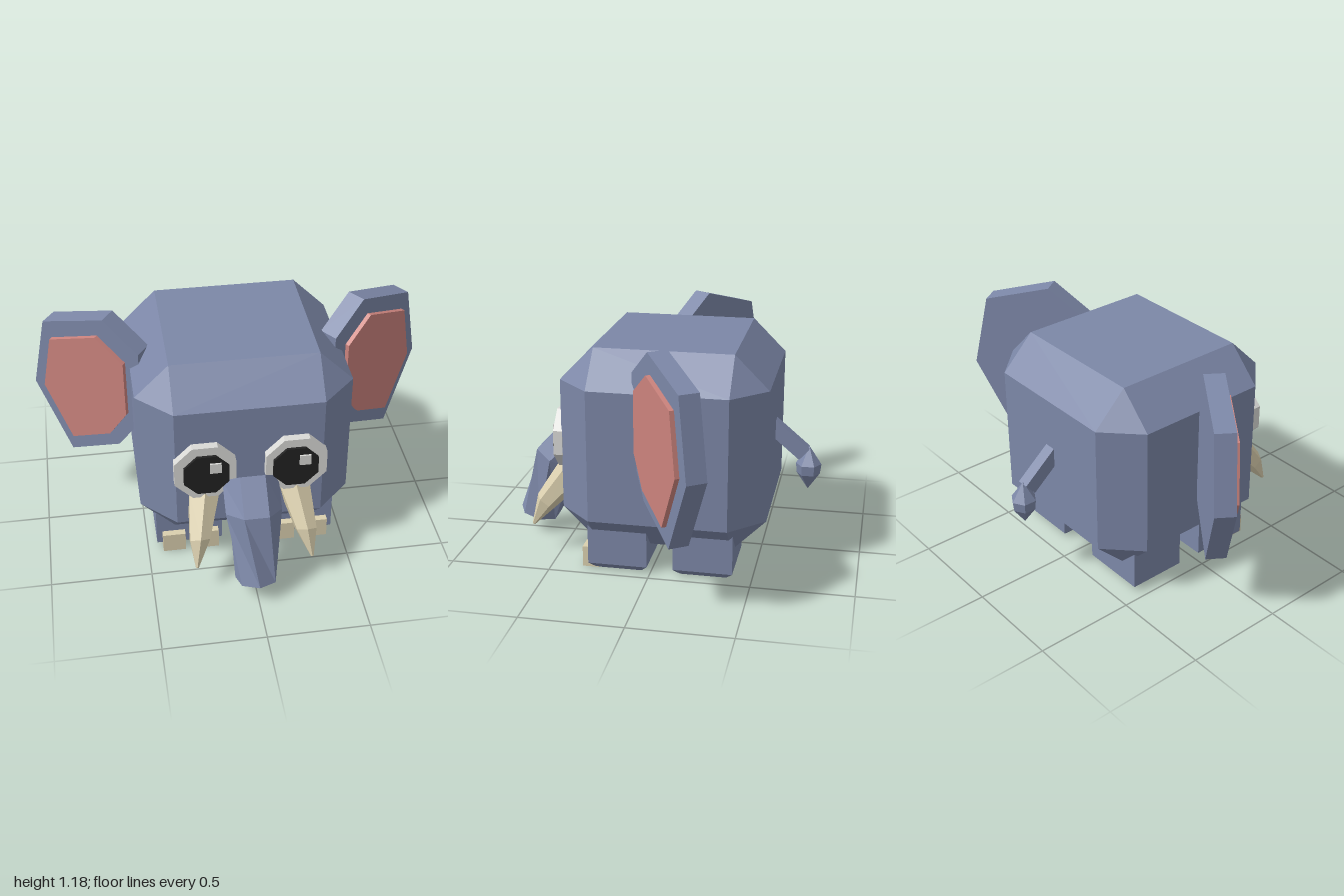
import * as THREE from 'three';
import { ConvexGeometry } from 'three/addons/geometries/ConvexGeometry.js';

const material = (name, color) => {
  const m = new THREE.MeshStandardMaterial({ color, flatShading: true });
  m.name = name;
  return m;
};

// Box with all edges cut off, given half sizes and cut
function cutBox(hx, hy, hz, c) {
  const pts = [];
  for (const x of [-1, 1]) for (const y of [-1, 1]) for (const z of [-1, 1]) {
    pts.push(new THREE.Vector3(x * hx, y * (hy - c), z * (hz - c)));
    pts.push(new THREE.Vector3(x * (hx - c), y * hy, z * (hz - c)));
    pts.push(new THREE.Vector3(x * (hx - c), y * (hy - c), z * hz));
  }
  return new ConvexGeometry(pts);
}

// Block whose underside narrows by c over the lowest part
function footGeometry(hx, hz, height, c) {
  const pts = [];
  for (const x of [-1, 1]) for (const z of [-1, 1]) {
    pts.push(new THREE.Vector3(x * (hx - c), 0, z * (hz - c)));
    pts.push(new THREE.Vector3(x * hx, c, z * hz));
    pts.push(new THREE.Vector3(x * hx, height, z * hz));
  }
  return new ConvexGeometry(pts);
}

// Skin over tilted rings: [x, y, z, radius, pitch in degrees, turn in steps]
function loft(rings, sides) {
  const pos = [], index = [];
  for (const [x, y, z, r, pitch, turn] of rings) {
    const p = THREE.MathUtils.degToRad(pitch);
    for (let i = 0; i < sides; i++) {
      const a = Math.PI / 2 + ((i + turn) / sides) * Math.PI * 2;
      const s = Math.sin(a) * r;
      pos.push(x + Math.cos(a) * r, y + s * Math.cos(p), z + s * Math.sin(p));
    }
  }
  const last = (rings.length - 1) * sides;
  for (let k = 0; k < last; k += sides) {
    for (let i = 0; i < sides; i++) {
      const j = (i + 1) % sides;
      index.push(k + i, k + j, k + sides + i, k + j, k + sides + j, k + sides + i);
    }
  }
  // end cap
  for (let i = 1; i < sides - 1; i++) index.push(last, last + i, last + i + 1);
  const g = new THREE.BufferGeometry();
  g.setAttribute('position', new THREE.Float32BufferAttribute(pos, 3));
  g.setIndex(index);
  const flat = g.toNonIndexed();
  flat.computeVertexNormals();
  return flat;
}

// Flat outline pulled out along z
function plate(points, depth) {
  const shape = new THREE.Shape(points.map(([x, y]) => new THREE.Vector2(x, y)));
  return new THREE.ExtrudeGeometry(shape, { depth, bevelEnabled: false });
}

// Octagonal disc facing +z, given half width and depth
function octagon(half, depth) {
  const r = half / Math.cos(Math.PI / 8);
  return new THREE.CylinderGeometry(r, r, depth, 8, 1, false, Math.PI / 8).rotateX(Math.PI / 2);
}

export function createModel() {
  const root = new THREE.Group();
  root.name = 'elephant';
  const skin = material('blue grey skin', 0x7c87a7);
  const pink = material('pink inner ear', 0xcb837d);
  const ivory = material('ivory', 0xdacfae);
  const white = material('eye white', 0xd9d9d6);
  const black = material('pupil black', 0x222222);

  const add = (name, geometry, mat, x = 0, y = 0, z = 0, parent = root) => {
    const mesh = new THREE.Mesh(geometry, mat);
    mesh.name = name;
    mesh.position.set(x, y, z);
    parent.add(mesh);
    return mesh;
  };

  add('body', cutBox(0.525, 0.495, 0.505, 0.167), skin, 0, 0.615, -0.05);

  // Trunk, bending down from the face
  add('trunk', loft([
    [0, 0.52, 0.45, 0.14, 45, 0.5],
    [0, 0.42, 0.56, 0.14, 70, 0.5],
    [0, 0.09, 0.69, 0.105, 76, 0],
  ], 7), skin);

  // Ear outlines: distance from the inner edge, height
  const earOutline = [[0.01, 0.645], [0.15, 0.45], [0.44, 0.325], [0.63, 0.7],
    [0.545, 1.08], [0.2, 1.18], [0.01, 1.035]];
  const innerOutline = [[0.085, 0.67], [0.188, 0.52], [0.415, 0.425], [0.56, 0.71],
    [0.5, 1.0], [0.235, 1.085], [0.085, 0.97]];
  const earTurn = 0.6;

  for (const s of [-1, 1]) {
    const side = s > 0 ? 'left' : 'right';

    // Legs and front toes
    for (const [end, z] of [['Front', 0.163], ['Back', -0.26]])
      add(side + end + 'Leg', footGeometry(0.168, 0.147, 0.25, 0.033), skin, s * 0.285, 0, z);
    for (const x of [0.197, 0.367])
      add(side + 'Toe', new THREE.BoxGeometry(0.115, 0.105, 0.08), ivory, s * x, 0.0525, 0.305);

    // Ears, mirrored by reflecting the outline
    const ear = new THREE.Group();
    ear.name = side + 'Ear';
    ear.position.set(s * 0.475, 0, 0.08);
    ear.rotation.y = s * earTurn;
    root.add(ear);
    const mirrored = (pts) => pts.map(([x, y]) => [s * x, y]);
    add('earFlap', plate(mirrored(earOutline), 0.1), skin, 0, 0, -0.1, ear);
    add('innerEar', plate(mirrored(innerOutline), 0.023), pink, 0, 0, 0, ear);

    // Tusks
    add(side + 'Tusk', loft([
      [s * 0.22, 0.45, 0.42, 0.087, 50, 0],
      [s * 0.262, 0.27, 0.57, 0.056, 55, 0],
      [s * 0.285, 0.145, 0.637, 0.008, 65, 0],
    ], 6), ivory);

    // Eyes; the glint sits on the same side in both
    add(side + 'EyeWhite', octagon(0.148, 0.045), white, s * 0.22, 0.62, 0.473);
    add(side + 'Pupil', octagon(0.109, 0.015), black, s * 0.215, 0.615, 0.502);
    add(side + 'EyeGlint', new THREE.BoxGeometry(0.055, 0.055, 0.009), white,
      s * 0.215 + 0.043, 0.658, 0.514);
  }

  // Tail with a pointed tuft
  const tail = add('tail', new THREE.BoxGeometry(0.06, 0.075, 0.25), skin, 0, 0.6, -0.605);
  tail.rotation.x = -0.7;
  const tuft = [[0, -0.115], [0.058, -0.03], [0.064, 0.02], [0, 0.115]]
    .map(([x, y]) => new THREE.Vector2(x, y));
  add('tailTuft', new THREE.LatheGeometry(tuft, 6), skin, 0, 0.445, -0.723);

  return root;
}
